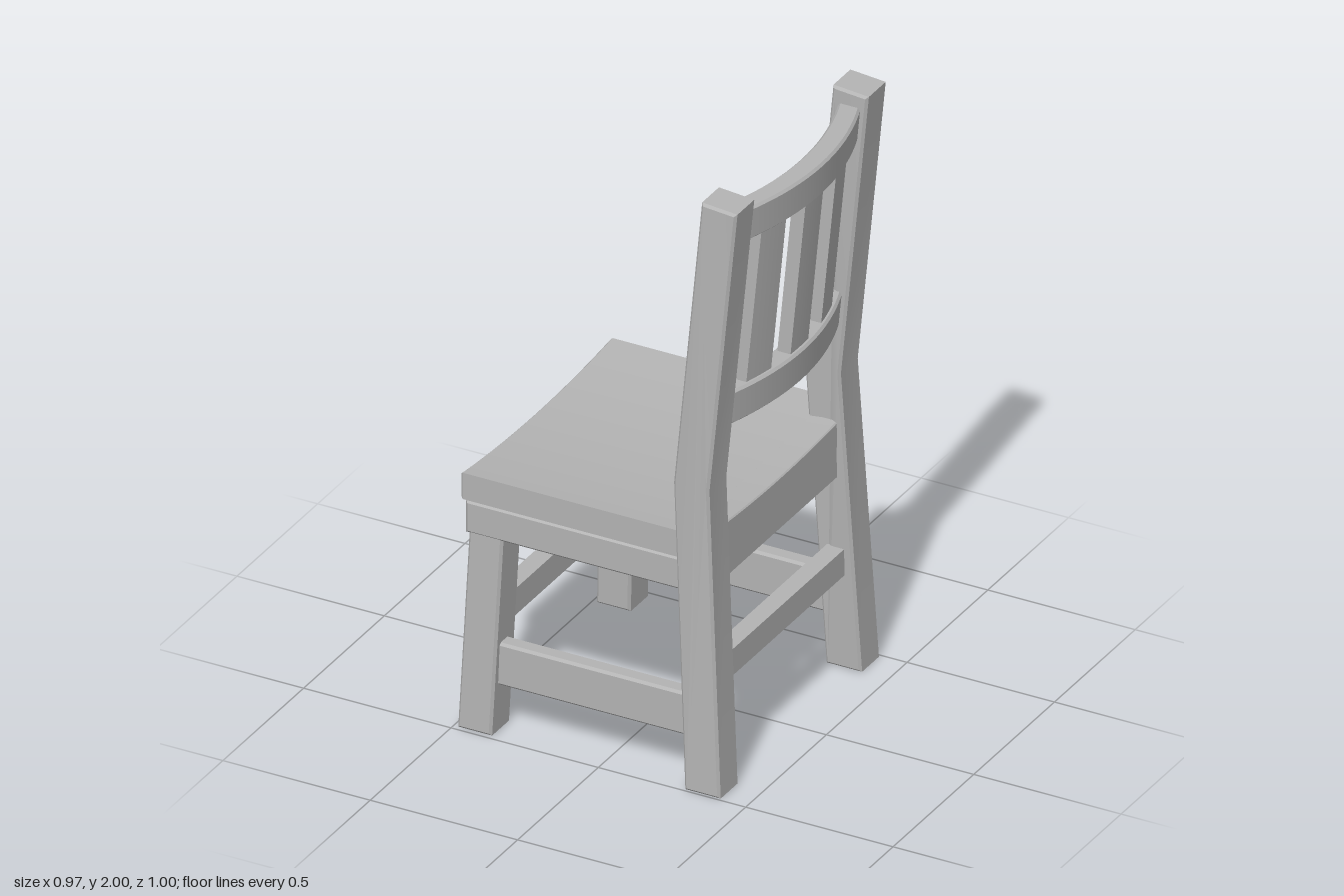
import * as THREE from 'three';
import { toCreasedNormals } from 'three/addons/utils/BufferGeometryUtils.js';

const BEVEL = 0.008;

// Extrude an outline along +z with small chamfers, keeping its outer size
function slab(points, depth, bevel = BEVEL) {
  const shape = new THREE.Shape(points.map(([x, y]) => new THREE.Vector2(x, y)));
  const geo = new THREE.ExtrudeGeometry(shape, {
    depth: depth - 2 * bevel, bevelEnabled: true, bevelSegments: 1,
    bevelSize: bevel, bevelThickness: bevel, bevelOffset: -bevel,
  });
  return geo.translate(0, 0, bevel);
}

// Move every vertex by a rule
function warp(geo, rule) {
  const p = geo.attributes.position;
  const v = new THREE.Vector3();
  for (let i = 0; i < p.count; i++) {
    rule(v.fromBufferAttribute(p, i));
    p.setXYZ(i, v.x, v.y, v.z);
  }
  return geo;
}

// Chamfered board between two corners
function board(x0, x1, y0, y1, z0, z1) {
  return slab([[x0, y0], [x1, y0], [x1, y1], [x0, y1]], z1 - z0).translate(0, 0, z0);
}

// Curved, reclined piece of the backrest
function backPiece(y0, y1, zMid, width, thick) {
  const front = [], rear = [];
  const steps = Math.max(4, Math.round(width * 24));
  for (let i = 0; i <= steps; i++) {
    const z = zMid + width * (i / steps - 0.5);
    const x = 0.3875 - 0.52 * z * z;
    front.push([x - thick / 2, -z]);
    rear.unshift([x + thick / 2, -z]);
  }
  const geo = slab([...front, ...rear], y1 - y0).rotateX(-Math.PI / 2).translate(0, y0, 0);
  return warp(geo, (v) => { v.x += 0.097 * (v.y - 1.3); });
}

// Seat section, dished across its width
function seatPiece(x0, x1, halfWidth, bevel) {
  const top = [], bottom = [];
  const steps = 20;
  for (let i = 0; i <= steps; i++) {
    const z = halfWidth * (2 * i / steps - 1);
    const y = 0.835 + 0.025 * (z / 0.465) ** 2;
    bottom.push([z, y - 0.09]);
    top.unshift([z, y]);
  }
  return slab([...bottom, ...top], x1 - x0, bevel).rotateY(Math.PI / 2).translate(x0, 0, 0);
}

export function createModel() {
  const chair = new THREE.Group();
  chair.name = 'chair';
  const wood = new THREE.MeshStandardMaterial({ color: 0xb3b3b3 });
  wood.name = 'plain grey';

  const add = (name, geo) => {
    const mesh = new THREE.Mesh(toCreasedNormals(geo, 0.5), wood);
    mesh.name = name;
    chair.add(mesh);
  };

  // Seat, with a narrower tongue between the rear posts
  add('seat', seatPiece(-0.488, 0.262, 0.465, BEVEL));
  add('seatTongue', seatPiece(0.25, 0.342, 0.36, 0.004));

  const rearProfile = [[0.29, 0], [0.41, 0], [0.355, 1.02], [0.45, 1.99], [0.33, 2], [0.235, 1.02]];
  const frontProfile = [[-0.485, 0], [-0.37, 0], [-0.342, 0.76], [-0.457, 0.76]];

  for (const s of [1, -1]) {
    const side = s > 0 ? 'left' : 'right';

    // Legs splay outwards towards the floor
    const rear = slab(rearProfile, 0.12).translate(0, 0, -0.06);
    add(side + 'RearPost', warp(rear, (v) => { v.z += s * (0.438 - 0.031 * Math.min(v.y / 1.02, 1)); }));
    const front = slab(frontProfile, 0.12).translate(0, 0, -0.06);
    add(side + 'FrontLeg', warp(front, (v) => { v.z += s * (0.43 - 0.04 * v.y); }));

    // Side apron and low side stretcher
    add(side + 'Apron', board(-0.47, 0.28, 0.66, 0.77, -0.025, 0.025).translate(0, 0, s * 0.443));
    add(side + 'Stretcher', board(-0.41, 0.33, 0.16, 0.305, -0.028, 0.028).translate(0, 0, s * 0.428));
  }

  // Cross aprons and cross stretchers
  add('frontApron', board(-0.465, -0.415, 0.66, 0.77, -0.43, 0.43));
  add('rearApron', board(0.285, 0.34, 0.66, 0.775, -0.38, 0.38));
  add('frontStretcher', board(-0.443, -0.383, 0.325, 0.415, -0.39, 0.39));
  add('rearStretcher', board(0.3, 0.36, 0.325, 0.415, -0.39, 0.39));

  // Backrest rails and slats
  add('topRail', backPiece(1.83, 1.947, 0, 0.73, 0.075));
  add('lowerRail', backPiece(1.182, 1.302, 0, 0.73, 0.075));
  for (const z of [-0.21, 0, 0.21]) add('backSlat', backPiece(1.285, 1.85, z, 0.11, 0.045));

  return chair;
}
